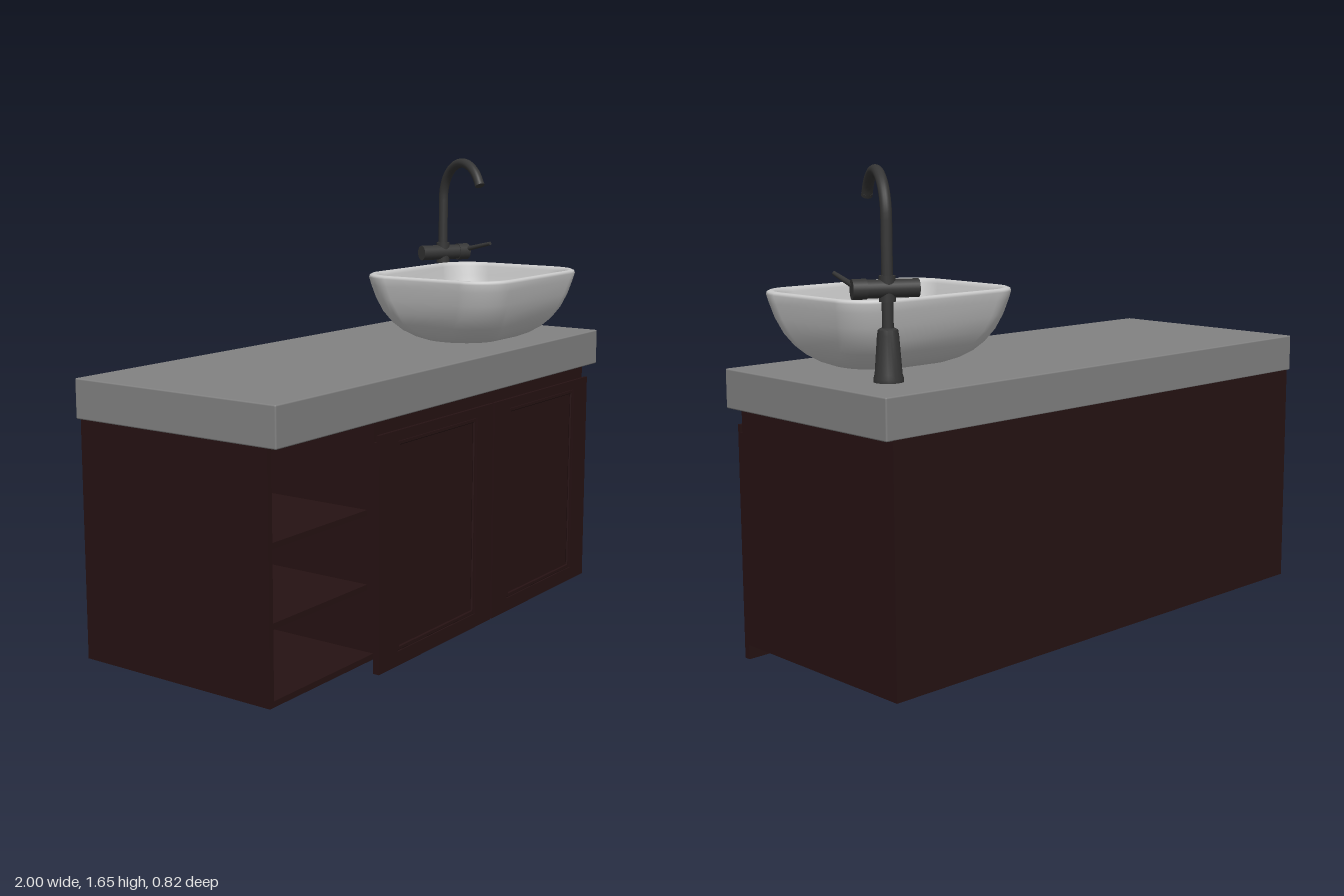
import * as THREE from 'three';
import { toCreasedNormals } from 'three/addons/utils/BufferGeometryUtils.js';
import { RoundedBoxGeometry } from 'three/addons/geometries/RoundedBoxGeometry.js';

const mat = (color, side = THREE.FrontSide) => new THREE.MeshStandardMaterial({ color, side });
const wood = mat(0x261213);
const stone = mat(0x828282);
const ceramic = mat(0xcccccc, THREE.DoubleSide);
const metal = mat(0x363636, THREE.DoubleSide);

function add(parent, name, geometry, material, x = 0, y = 0, z = 0) {
  const mesh = new THREE.Mesh(geometry, material);
  mesh.name = name;
  mesh.position.set(x, y, z);
  parent.add(mesh);
  return mesh;
}

// Box given by its lower and upper limits on each axis
function box(parent, name, [x0, x1], [y0, y1], [z0, z1], material = wood) {
  return add(parent, name, new THREE.BoxGeometry(x1 - x0, y1 - y0, z1 - z0), material,
    (x0 + x1) / 2, (y0 + y1) / 2, (z0 + z1) / 2);
}

function rectangle(target, x0, x1, y0, y1) {
  target.moveTo(x0, y0);
  target.lineTo(x1, y0);
  target.lineTo(x1, y1);
  target.lineTo(x0, y1);
  target.closePath();
  return target;
}

// Flat rectangular ring with mitred chamfers, z is its back face
function frame(parent, name, outer, inner, z, depth, bevel = 0) {
  const shape = rectangle(new THREE.Shape(), ...outer);
  shape.holes.push(rectangle(new THREE.Path(), ...inner));
  const geometry = new THREE.ExtrudeGeometry(shape, {
    depth, bevelEnabled: bevel > 0, bevelSize: bevel, bevelThickness: bevel,
    bevelOffset: -bevel, bevelSegments: 1,
  });
  return add(parent, name, geometry, wood, 0, 0, z);
}

// Carcass with an open shelf bay at its right end
function cabinet() {
  const group = new THREE.Group();
  group.name = 'cabinet';
  const depth = [-0.41, 0.355];
  box(group, 'backPanel', [-0.98, 0.975], [0.05, 0.855], [-0.41, -0.39]);
  box(group, 'bottomPanel', [-0.98, 0.975], [0.05, 0.07], depth);
  box(group, 'topPanel', [-0.98, 0.975], [0.835, 0.855], depth);
  for (const [name, x] of [['rightSide', -0.98], ['divider', -0.445], ['leftSide', 0.955]]) {
    box(group, name, [x, x + 0.02], [0.05, 0.855], depth);
  }
  for (const y of [0.29, 0.54]) {
    box(group, 'shelf', [-0.96, -0.445], [y - 0.01, y + 0.01], [-0.39, 0.33]);
  }
  box(group, 'topRail', [-0.445, 0.975], [0.76, 0.855], [0.335, 0.355]);
  return group;
}

// Framed door with a sunken panel and a bead around it
function door(x0, x1) {
  const group = new THREE.Group();
  group.name = 'door';
  const inner = [x0 + 0.108, x1 - 0.108, 0.05, 0.765];
  const [a, b, c, d] = inner;
  frame(group, 'doorFrame', [x0, x1, 0, 0.8], inner, 0.367, 0.011);
  frame(group, 'doorBacking', [x0, x1, 0, 0.775], inner, 0.355, 0.012);
  box(group, 'doorPanel', [a, b], [c, d], [0.355, 0.367]);
  frame(group, 'panelBead', inner, [a + 0.016, b - 0.016, c + 0.016, d - 0.016], 0.37, 0.002, 0.003);
  return group;
}

// Rounded rectangle ring, always the same number of points
function ring(hx, hz, r, y) {
  const points = [];
  const radius = Math.min(r, hx, hz);
  const corner = 10;
  for (let q = 0; q < 4; q++) {
    const sx = q === 0 || q === 3 ? 1 : -1;
    const sz = q < 2 ? 1 : -1;
    for (let i = 0; i <= corner; i++) {
      const t = (q + i / corner) * Math.PI / 2;
      points.push([sx * (hx - radius) + radius * Math.cos(t), y,
        sz * (hz - radius) + radius * Math.sin(t)]);
    }
  }
  return points;
}

// Vessel basin lofted from underside, over the rim, to the inner floor
function basin() {
  const group = new THREE.Group();
  group.name = 'basin';
  group.position.set(0.535, 0.985, 0.12);
  // [height, inset from rim outline]
  const profile = [
    [0, 0.285], [0, 0.19], [0.005, 0.15], [0.018, 0.12], [0.04, 0.089], [0.07, 0.062],
    [0.11, 0.038], [0.16, 0.019], [0.21, 0.006], [0.238, 0], [0.246, 0.002], [0.25, 0.008],
    [0.25, 0.016], [0.246, 0.022], [0.235, 0.026], [0.2, 0.032], [0.15, 0.044], [0.1, 0.062],
    [0.07, 0.082], [0.048, 0.108], [0.036, 0.14], [0.03, 0.18], [0.027, 0.23], [0.026, 0.285],
  ];
  const positions = [];
  const index = [];
  profile.forEach(([y, inset]) => {
    positions.push(...ring(0.355 - inset, 0.29 - inset, 0.13, y).flat());
  });
  const n = 44;
  for (let k = 0; k < profile.length - 1; k++) {
    for (let i = 0; i < n; i++) {
      const a = k * n + i, b = k * n + (i + 1) % n;
      index.push(a, a + n, b, b, a + n, b + n);
    }
  }
  const geometry = new THREE.BufferGeometry();
  geometry.setAttribute('position', new THREE.Float32BufferAttribute(positions, 3));
  geometry.setIndex(index);
  geometry.computeVertexNormals();
  add(group, 'bowl', geometry, ceramic);
  add(group, 'drain', new THREE.CylinderGeometry(0.037, 0.037, 0.008, 24), metal, 0, 0.028, 0);
  const rim = add(group, 'drainRim', new THREE.TorusGeometry(0.032, 0.005, 8, 24), metal, 0, 0.032, 0);
  rim.rotation.x = Math.PI / 2;
  return group;
}

// Faucet: spout bends toward local +z, valve body lies along local x
function faucet() {
  const group = new THREE.Group();
  group.name = 'faucet';
  group.position.set(0.802, 0.985, -0.187);
  group.rotation.y = -0.472;

  const base = [[0, 0], [0.047, 0], [0.047, 0.012], [0.043, 0.025], [0.034, 0.145],
    [0.031, 0.162], [0.022, 0.167], [0, 0.167]].map(([x, y]) => new THREE.Vector2(x, y));
  add(group, 'faucetBase', toCreasedNormals(new THREE.LatheGeometry(base, 24), 0.6), metal);

  const path = new THREE.CurvePath();
  const arc = [];
  for (let i = 0; i <= 16; i++) {
    const t = Math.PI * (1 - i / 16 * 0.85);
    arc.push(new THREE.Vector3(0, 0.5 + 0.143 * Math.sin(t), 0.143 + 0.143 * Math.cos(t)));
  }
  path.add(new THREE.LineCurve3(new THREE.Vector3(0, 0.15, 0), arc[0]));
  path.add(new THREE.CatmullRomCurve3(arc));
  add(group, 'spout', new THREE.TubeGeometry(path, 72, 0.018, 14), metal);
  const tip = add(group, 'spoutTip', new THREE.CylinderGeometry(0.0185, 0.0185, 0.012, 16), metal);
  tip.position.copy(arc[16]);
  tip.quaternion.setFromUnitVectors(new THREE.Vector3(0, 1, 0), arc[16].clone().sub(arc[15]).normalize());

  add(group, 'pipeCollar', new THREE.CylinderGeometry(0.026, 0.026, 0.08, 20), metal, 0, 0.288, 0);
  for (const [name, x, length, radius] of [
    ['valveBody', -0.013, 0.17, 0.029], ['valveRing', 0.062, 0.012, 0.025], ['valveKnob', 0.088, 0.045, 0.032],
  ]) {
    const part = add(group, name, new THREE.CylinderGeometry(radius, radius, length, 24), metal, x, 0.288, 0);
    part.rotation.z = Math.PI / 2;
  }

  const from = new THREE.Vector3(0.098, 0.295, 0);
  const to = new THREE.Vector3(0.137, 0.327, 0.135);
  const lever = add(group, 'lever', new THREE.CylinderGeometry(0.007, 0.01, from.distanceTo(to), 12), metal);
  lever.position.copy(from).lerp(to, 0.5);
  lever.quaternion.setFromUnitVectors(new THREE.Vector3(0, 1, 0), to.clone().sub(from).normalize());
  return group;
}

export function createModel() {
  const model = new THREE.Group();
  model.name = 'bathroomVanity';
  model.add(cabinet(), door(-0.445, 0.261), door(0.27, 0.975));
  add(model, 'countertop', new RoundedBoxGeometry(2, 0.132, 0.815, 2, 0.005), stone, 0, 0.919, -0.003);
  model.add(basin(), faucet());
  return model;
}
